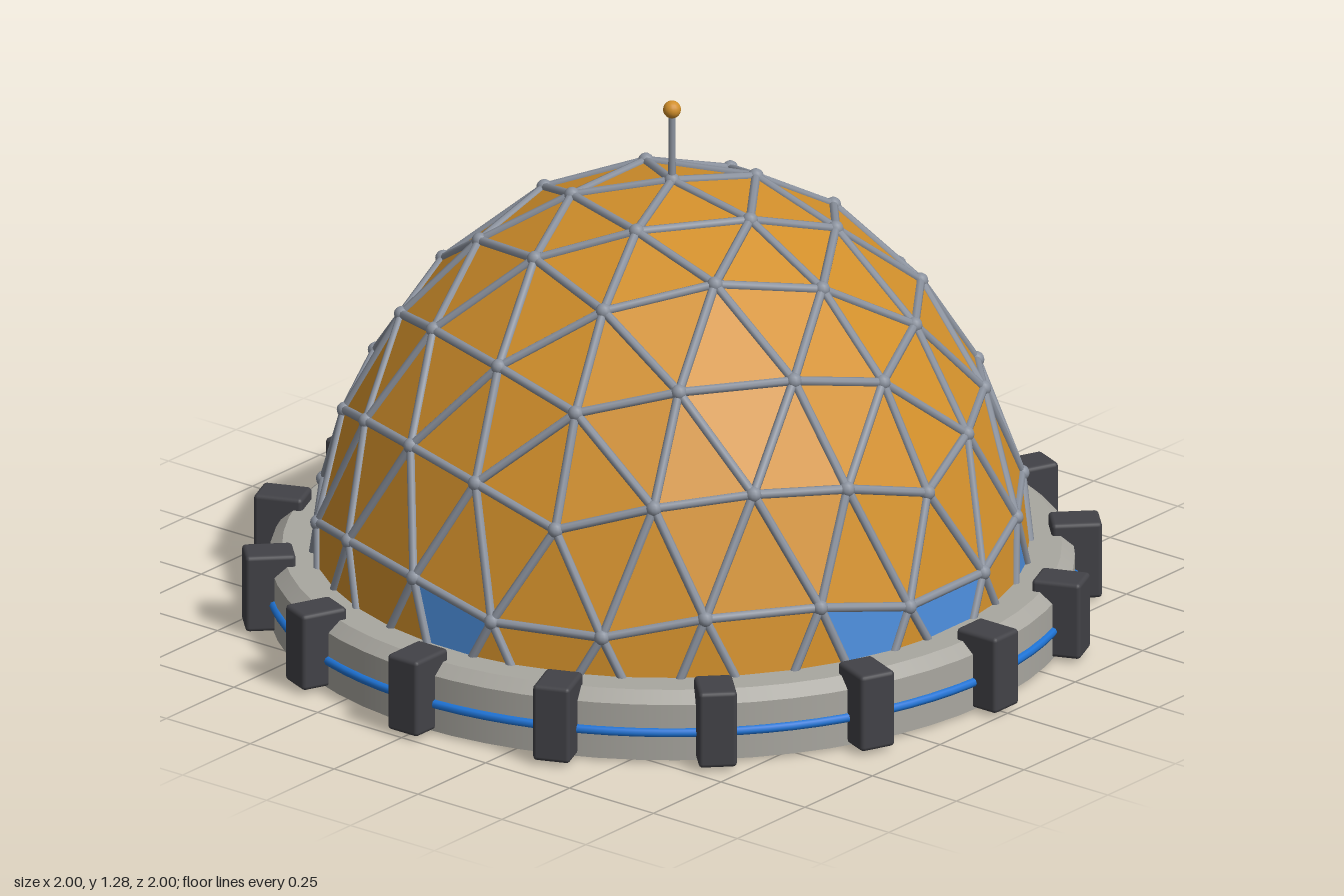
import * as THREE from 'three';
import { mergeGeometries } from 'three/addons/utils/BufferGeometryUtils.js';
import { RoundedBoxGeometry } from 'three/addons/geometries/RoundedBoxGeometry.js';

const mat = (name, color, extra = {}) => {
  const m = new THREE.MeshStandardMaterial({ color, ...extra });
  m.name = name;
  return m;
};
const V = (x, y, z) => new THREE.Vector3(x, y, z);
const rad = THREE.MathUtils.degToRad;

const RX = 0.85, RY = 1.064, Y0 = 0.016;          // dome ellipsoid
const onDome = (p) => V(p.x * RX, p.y * RY + Y0, p.z * RX);

// Upright icosahedron split twice on the unit sphere; the upper half is kept
function domeFaces() {
  const at = (deg, y) => {
    const r = Math.sqrt(1 - y * y);
    return V(r * Math.sin(rad(deg)), y, r * Math.cos(rad(deg)));
  };
  const h = 1 / Math.sqrt(5), top = V(0, 1, 0);
  let faces = [];
  for (let i = 0; i < 5; i++) {
    const a = at(72 * i, h), b = at(72 * (i + 1), h);
    const c = at(72 * i + 36, -h), d = at(72 * i - 36, -h);
    faces.push([top, a, b], [a, c, b], [a, d, c]);
  }
  const mid = (a, b) => a.clone().add(b).normalize();
  for (let n = 0; n < 2; n++) {
    faces = faces.flatMap(([a, b, c]) => {
      const ab = mid(a, b), bc = mid(b, c), ca = mid(c, a);
      return [[a, ab, ca], [ab, b, bc], [ca, bc, c], [ab, bc, ca]];
    });
  }
  return faces.filter((f) => f[0].y + f[1].y + f[2].y > 0.01);
}

// Blue panes: azimuths in the lowest row, plus one pane in the row above
const LOW_PANES = [-18, 0, 27, 90, 198, 270], HIGH_PANES = [216];
function isPane([a, b, c]) {
  const m = a.clone().add(b).add(c).divideScalar(3);
  const az = Math.atan2(m.x, m.z) * 180 / Math.PI;
  const near = (t) => Math.abs(((az - t + 540) % 360 + 360) % 360 - 180) < 4;
  if (m.y < 0.24) return LOW_PANES.some(near);
  return m.y < 0.36 && HIGH_PANES.some(near);
}

function panelGeometry(faces) {
  const g = new THREE.BufferGeometry().setFromPoints(faces.flat().map(onDome));
  g.computeVertexNormals();
  return g;
}

function strutGeometry(a, b, r) {
  const d = b.clone().sub(a);
  const g = new THREE.CylinderGeometry(r, r, d.length(), 8, 1, true);
  g.applyQuaternion(new THREE.Quaternion().setFromUnitVectors(V(0, 1, 0), d.normalize()));
  const m = a.clone().add(b).multiplyScalar(0.5);
  return g.translate(m.x, m.y, m.z);
}

export function createModel() {
  const amber = mat('amber panel', 0xd18f2b);
  const blue = mat('blue pane', 0x4a8ad6);
  const steel = mat('steel frame', 0x8b929e);
  const concrete = mat('base grey', 0xa9a7a0);
  const dark = mat('dark clamp', 0x424247);
  const trim = mat('blue trim', 0x1f74d6);

  const model = new THREE.Group();
  model.name = 'geodesicDome';
  const add = (name, geo, material, parent = model) => {
    const m = new THREE.Mesh(geo, material);
    m.name = name;
    parent.add(m);
    return m;
  };

  // Triangular panels
  const faces = domeFaces();
  add('domePanels', panelGeometry(faces.filter((f) => !isPane(f))), amber);
  add('bluePanes', panelGeometry(faces.filter(isPane)), blue);

  // Struts along every edge and a ball at every joint
  const joints = new Map(), edges = new Map();
  const key = (p) => p.toArray().map((v) => Math.round(v * 1000) + 0).join();
  for (const f of faces) {
    f.forEach((p, i) => {
      const q = f[(i + 1) % 3];
      joints.set(key(p), onDome(p));
      edges.set([key(p), key(q)].sort().join('|'), [onDome(p), onDome(q)]);
    });
  }
  add('struts', mergeGeometries([...edges.values()].map(([a, b]) => strutGeometry(a, b, 0.011))), steel);
  add('joints', mergeGeometries([...joints.values()].map((p) =>
    new THREE.SphereGeometry(0.019, 12, 8).translate(p.x, Math.max(p.y, 0.019), p.z))), steel);

  // Base ring with a bevelled top edge and a closed underside
  const profile = [[0, 0.006], [0.935, 0.006], [0.935, 0.144], [0.905, 0.17], [0.8, 0.17], [0.8, 0.1]];
  const flats = [];
  for (let i = 0; i < profile.length - 1; i++) {
    const pair = [profile[i], profile[i + 1]].map(([x, y]) => new THREE.Vector2(x, y));
    flats.push(new THREE.LatheGeometry(pair, 64));
  }
  add('baseRing', mergeGeometries(flats), concrete);

  // Blue band around the ring
  add('trimBand', new THREE.TorusGeometry(0.935, 0.011, 8, 96).rotateX(Math.PI / 2).translate(0, 0.075, 0), trim);

  // Sixteen clamps
  const clamps = new THREE.Group();
  clamps.name = 'clamps';
  model.add(clamps);
  const clampGeo = new RoundedBoxGeometry(0.09, 0.188, 0.118, 2, 0.01).translate(0, 0.104, 0.941);
  for (let i = 0; i < 16; i++) add('clamp', clampGeo, dark, clamps).rotation.y = i * Math.PI / 8;

  // Antenna
  add('antennaMast', new THREE.CylinderGeometry(0.008, 0.009, 0.18, 10).translate(0, 1.165, 0), steel);
  add('antennaBall', new THREE.SphereGeometry(0.021, 16, 12).translate(0, 1.258, 0), amber);

  return model;
}
